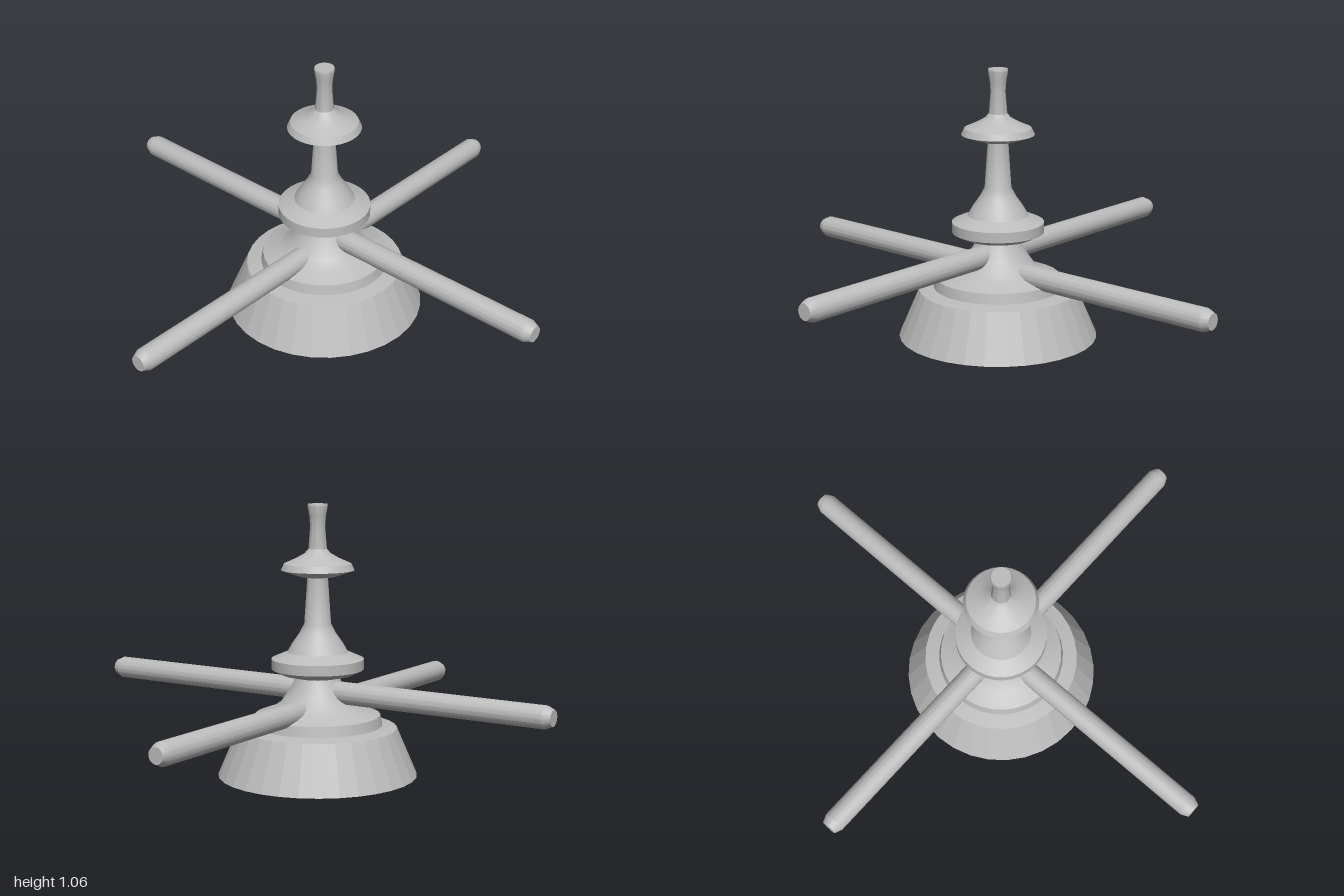
import * as THREE from 'three';
import { toCreasedNormals } from 'three/addons/utils/BufferGeometryUtils.js';

const SIDES = 32;

export function createModel() {
  const model = new THREE.Group();
  const metal = new THREE.MeshStandardMaterial({ color: 0xbcbcbc, side: THREE.DoubleSide });
  metal.name = 'greyMetal';

  function add(name, geometry, crease) {
    const mesh = new THREE.Mesh(toCreasedNormals(geometry, crease), metal);
    mesh.name = name;
    model.add(mesh);
    return mesh;
  }

  // Turned part from [radius, height] pairs, bottom to top
  function turned(name, profile, crease = 0.45) {
    const points = profile.map(([r, y]) => new THREE.Vector2(r, y));
    return add(name, new THREE.LatheGeometry(points, SIDES), crease);
  }

  // Hollow faceted skirt, open at the bottom
  turned('baseSkirt', [[0.39, 0], [0.31, 0.187]], 0.1);
  turned('baseShoulder', [
    [0.31, 0.187], [0.253, 0.198], [0.245, 0.238], [0.18, 0.262],
    [0.145, 0.285], [0.118, 0.325], [0.096, 0.36], [0.085, 0.385],
  ]);

  // Wide collar and tapered column
  turned('collar', [
    [0.085, 0.385], [0.14, 0.398], [0.18, 0.418], [0.18, 0.458], [0.118, 0.485],
  ]);
  turned('column', [
    [0.118, 0.485], [0.098, 0.52], [0.07, 0.56], [0.052, 0.595], [0.04, 0.775],
  ]);

  // Upper disc and spindle
  turned('upperDisc', [
    [0.04, 0.775], [0.07, 0.778], [0.142, 0.803], [0.13, 0.828], [0.085, 0.848], [0.05, 0.868], [0.036, 0.885],
  ]);
  turned('spindle', [
    [0.036, 0.885], [0.029, 0.97], [0.032, 1.01], [0.039, 1.05], [0.037, 1.057], [0, 1.057],
  ]);

  // Two crossing bars with chamfered ends
  function bar(name, y, turn) {
    const profile = [[0, -1], [0.031, -1], [0.044, -0.97], [0.044, 0.97], [0.031, 1], [0, 1]];
    const mesh = add(name, new THREE.LatheGeometry(profile.map(([r, h]) => new THREE.Vector2(r, h)), 16), 0.41);
    mesh.rotation.set(turn ? Math.PI / 2 : 0, 0, turn ? 0 : Math.PI / 2);
    mesh.position.y = y;
  }
  bar('lowerCrossBar', 0.267, false);
  bar('upperCrossBar', 0.333, true);

  // Everything but the long bar sits a touch behind centre
  model.children.forEach((part) => {
    if (part.name !== 'upperCrossBar') part.position.z = -0.005;
  });
  return model;
}
